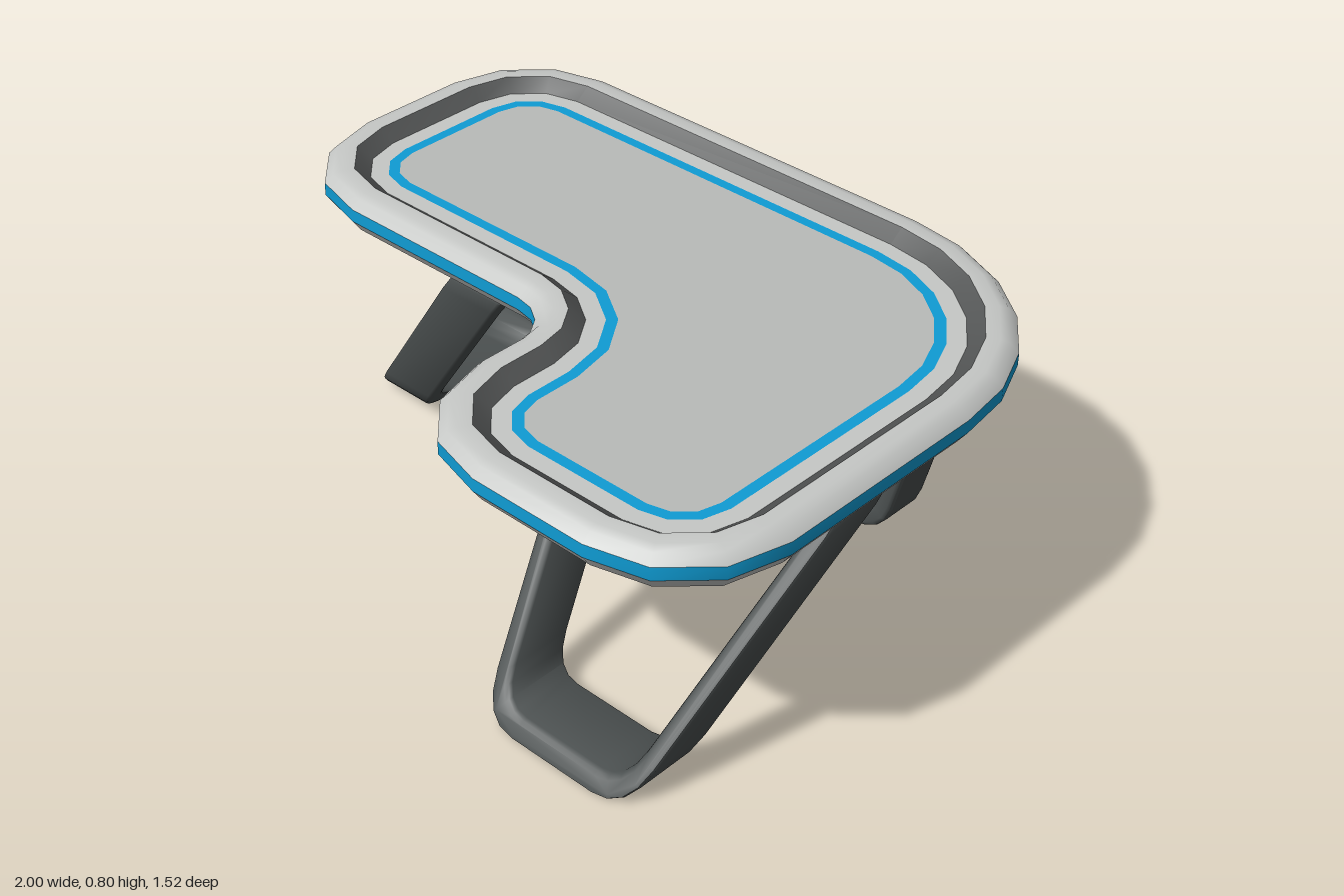
import * as THREE from 'three';
import { toCreasedNormals } from 'three/addons/utils/BufferGeometryUtils.js';

const mat = (name, color) => new THREE.MeshStandardMaterial({ name, color });

// Table outline corners: centre x, centre z, radius, start and end angle (quarter turns), segments
const CORNERS = [
  [-0.69, -0.45, 0.31, 2, 3, 3],
  [0.4, -0.16, 0.6, 3, 4, 6],
  [0.69, 0.45, 0.31, 0, 1, 3],
  [0.36, 0.45, 0.31, 1, 2, 3],
  [-0.09, 0.32, 0.14, 0, -1, 4], // inner bend of the L
  [-0.69, -0.13, 0.31, 1, 2, 3],
];

// Outline moved inward by d, as [x, z] points
function outline(d) {
  const pts = [];
  for (const [cx, cz, r, a0, a1, n] of CORNERS) {
    const rad = a1 < a0 ? r + d : r - d;
    for (let i = 0; i <= n; i++) {
      const a = (a0 + (a1 - a0) * i / n) * Math.PI / 2;
      pts.push([cx + rad * Math.cos(a), cz + rad * Math.sin(a)]);
    }
  }
  return pts;
}

// Loft around the outline through a profile of [inset, height] points
function ring(profile) {
  const pos = [];
  const loops = profile.map(([d, y]) => outline(d).map(([x, z]) => [x, y, z]));
  for (let k = 0; k + 1 < loops.length; k++) {
    const a = loops[k], b = loops[k + 1];
    for (let i = 0; i < a.length; i++) {
      const j = (i + 1) % a.length;
      pos.push(...a[i], ...b[i], ...a[j], ...a[j], ...b[i], ...b[j]);
    }
  }
  const g = new THREE.BufferGeometry();
  g.setAttribute('position', new THREE.Float32BufferAttribute(pos, 3));
  return toCreasedNormals(g, 0.85);
}

// Flat sheet filling the outline, facing up (s = 1) or down (s = -1)
function sheet(d, y, s) {
  const shape = new THREE.Shape(outline(d).map(([x, z]) => new THREE.Vector2(x, -s * z)));
  return new THREE.ShapeGeometry(shape).rotateX(-s * Math.PI / 2).translate(0, y, 0);
}

// Trace a rounded polygon, cutting each corner by c
function roundedPath(path, pts, c) {
  const v = pts.map(p => new THREE.Vector2(...p));
  v.forEach((p, i) => {
    const towards = q => p.clone().add(q.clone().sub(p).setLength(c));
    const a = towards(v[(i + v.length - 1) % v.length]);
    const b = towards(v[(i + 1) % v.length]);
    if (i) path.lineTo(a.x, a.y); else path.moveTo(a.x, a.y);
    path.quadraticCurveTo(p.x, p.y, b.x, b.y);
  });
  path.closePath();
  return path;
}

// Trapezoid loop leg; its foot leans towards +z by lean per unit of height
function legGeometry(depth, lean) {
  const H = 0.702, T = 0.046, B = 0.012;
  const half = y => 0.23 + 0.257 * y;
  const trapezoid = inset => {
    const y0 = inset, y1 = H - inset;
    const w0 = half(y0) - inset * 1.03, w1 = half(y1) - inset * 1.03;
    return [[-w0, y0], [w0, y0], [w1, y1], [-w1, y1]];
  };
  const shape = roundedPath(new THREE.Shape(), trapezoid(0), 0.1);
  shape.holes.push(roundedPath(new THREE.Path(), trapezoid(T), 0.075));
  const g = new THREE.ExtrudeGeometry(shape, {
    depth: depth - 2 * B, curveSegments: 4, bevelEnabled: true,
    bevelThickness: B, bevelSize: B, bevelOffset: -B, bevelSegments: 2,
  });
  g.translate(0, 0, B - depth / 2);
  const p = g.attributes.position;
  for (let i = 0; i < p.count; i++) p.setZ(i, p.getZ(i) + lean * (0.7 - p.getY(i)));
  return toCreasedNormals(g, 0.8);
}

export function createModel() {
  const rimGrey = mat('rim grey', 0xc6c8c6);
  const topGrey = mat('top grey', 0xb9bbb9);
  const blue = mat('blue trim', 0x0f9cd4);
  const dark = mat('dark groove', 0x555757);
  const legGrey = mat('leg grey', 0x4b5050);

  const model = new THREE.Group();
  model.name = 'cornerTable';
  const add = (name, geometry, material, parent = model) => {
    const m = new THREE.Mesh(geometry, material);
    m.name = name;
    parent.add(m);
    return m;
  };

  // Table top, from the underside round the edge to the sunken centre
  const top = new THREE.Group();
  top.name = 'tableTop';
  model.add(top);
  const Y = 0.768;
  add('underside', sheet(0.025, 0.7, -1), topGrey, top);
  add('lowerRim', ring([[0.025, 0.7], [0, 0.735]]), rimGrey, top);
  add('edgeBand', ring([[0, 0.735], [0, 0.77]]), blue, top);
  add('upperRim', ring([[0, 0.77], [0.022, 0.793], [0.045, 0.8], [0.08, 0.8]]), rimGrey, top);
  add('grooveSlope', ring([[0.08, 0.8], [0.121, Y]]), dark, top);
  add('innerBorder', ring([[0.121, Y], [0.169, Y]]), rimGrey, top);
  add('inlayLine', ring([[0.169, Y], [0.198, Y]]), blue, top);
  add('centrePanel', sheet(0.198, Y, 1), topGrey, top);

  // Legs: upright at the back, splayed at the front and on the far arm
  add('rearLeg', legGeometry(0.145, 0), legGrey).position.set(0.31, 0, -0.573);
  add('frontLeg', legGeometry(0.188, 0.8), legGrey).position.set(0.53, 0, 0.055);
  const side = add('sideLeg', legGeometry(0.188, 0.78), legGrey);
  side.position.set(-0.285, 0, -0.285);
  side.rotation.y = -Math.PI / 2;

  return model;
}
